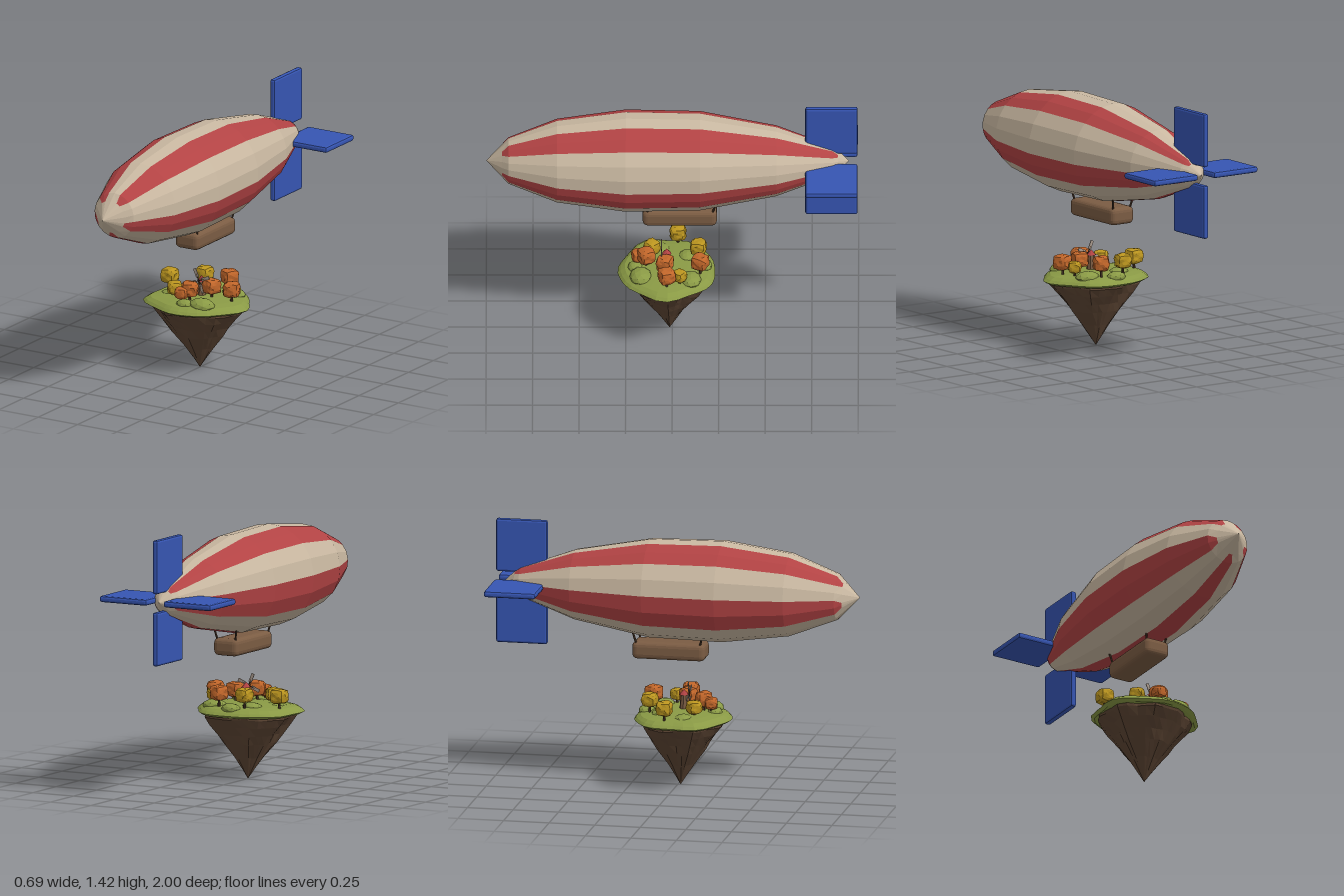
import * as THREE from 'three';
import { mergeGeometries } from 'three/addons/utils/BufferGeometryUtils.js';
import { RoundedBoxGeometry } from 'three/addons/geometries/RoundedBoxGeometry.js';

const mat = (name, color) => {
  const m = new THREE.MeshStandardMaterial({ color, flatShading: true });
  m.name = name;
  return m;
};

// Skin between rows of points
function loft(rows) {
  const pos = [];
  const tri = (...pts) => pts.forEach((p) => pos.push(p.x, p.y, p.z));
  for (let i = 0; i < rows.length - 1; i++) {
    for (let j = 0; j < rows[i].length - 1; j++) {
      const a = rows[i][j], b = rows[i][j + 1], c = rows[i + 1][j], d = rows[i + 1][j + 1];
      if (c.distanceTo(d) > 1e-6) tri(a, c, d);
      if (a.distanceTo(b) > 1e-6) tri(a, d, b);
    }
  }
  const g = new THREE.BufferGeometry();
  g.setAttribute('position', new THREE.Float32BufferAttribute(pos, 3));
  g.computeVertexNormals();
  return g;
}

export function createModel() {
  const model = new THREE.Group();
  const M = {
    cream: mat('cream canvas', 0xc9b8a1),
    red: mat('stripe red', 0xb24344),
    blue: mat('fin blue', 0x3655b2),
    leather: mat('gondola brown', 0x7b5c43),
    rock: mat('rock brown', 0x5e4634),
    grass: mat('grass green', 0x8a9a45),
    wood: mat('dark wood', 0x4f3a2b),
    orange: mat('autumn orange', 0xc1662a),
    yellow: mat('autumn yellow', 0xbb951f),
    vane: mat('sail grey', 0xa8998c),
  };
  const add = (parent, name, geo, material, x = 0, y = 0, z = 0) => {
    const m = new THREE.Mesh(geo, material);
    m.name = name;
    m.position.set(x, y, z);
    parent.add(m);
    return m;
  };
  const group = (name, parent = model) => {
    const g = new THREE.Group();
    g.name = name;
    parent.add(g);
    return g;
  };

  // Balloon: rows of [z, radius], cut into striped sectors by angle
  const airship = group('airship');
  const profile = [[1, 0], [0.915, 0.0885], [0.88, 0.125], [0.62, 0.225], [0.25, 0.275], [-0.15, 0.267],
    [-0.56, 0.19], [-0.86, 0.08], [-0.89, 0.06], [-0.95, 0]];
  const stripes = [[-103, -77], [-36, -8], [43, 73], [105, 138], [177, 217]];
  const edge = (s, side, row) => {
    const [a, b] = stripes[s], narrow = row < 2 || row > 7 ? 0.5 : 1;
    return (a + b) / 2 + (side ? 1 : -1) * ((b - a) / 2) * narrow;
  };
  const sector = (from, to, first, last) => {
    const n = Math.max(2, Math.round((to(4) - from(4)) / 18));
    const rows = [];
    for (let i = first; i <= last; i++) {
      const [z, r] = profile[i], row = [];
      for (let j = 0; j <= n; j++) {
        const t = THREE.MathUtils.degToRad(from(i) + ((to(i) - from(i)) * j) / n);
        row.push(new THREE.Vector3(r * Math.cos(t), 1.08 + r * Math.sin(t), z));
      }
      rows.push(row);
    }
    return loft(rows);
  };
  const pale = [], painted = [];
  stripes.forEach((_, s) => {
    const next = (s + 1) % 5, turn = next ? 0 : 360;
    const a = (i) => edge(s, 0, i), b = (i) => edge(s, 1, i), c = (i) => edge(next, 0, i) + turn;
    painted.push(sector(a, b, 1, 8));
    pale.push(sector(a, b, 0, 1), sector(a, b, 8, 9), sector(b, c, 0, 9));
  });
  add(airship, 'balloon', mergeGeometries(pale), M.cream);
  add(airship, 'balloonStripes', mergeGeometries(painted), M.red);

  // Tail fins
  for (const s of [-1, 1]) {
    add(airship, 'verticalFin', new RoundedBoxGeometry(0.034, 0.292, 0.282, 1, 0.012), M.blue, 0, 1.082 + s * 0.196, -0.855);
    add(airship, 'horizontalFin', new RoundedBoxGeometry(0.292, 0.034, 0.282, 1, 0.012), M.blue, s * 0.198, 1.082, -0.855);
  }

  // Gondola and its struts
  add(airship, 'gondola', new RoundedBoxGeometry(0.15, 0.096, 0.4, 2, 0.028), M.leather, 0, 0.745, -0.04);
  for (const x of [-1, 1]) for (const [z, lean] of [[0.13, 0.02], [-0.215, -0.02]]) {
    const path = new THREE.LineCurve3(new THREE.Vector3(x * 0.055, 0.775, z), new THREE.Vector3(x * 0.068, 0.85, z + lean));
    add(airship, 'strut', new THREE.TubeGeometry(path, 1, 0.006, 6), M.wood);
  }

  // Island: rows of [y, scale] around one wavy outline
  const island = group('island');
  const SIDES = 30;
  const outline = (t) => 0.277 + 0.016 * Math.cos(2 * t) + 0.009 * Math.sin(5 * t + 1) + 0.006 * Math.cos(7 * t);
  const rings = (list, rough) => loft(list.map(([y, k], i) => {
    const row = [];
    for (let j = 0; j <= SIDES; j++) {
      const t = ((j % SIDES) / SIDES) * Math.PI * 2;
      const ridge = 1 + rough * (Math.sin(9 * t + i * 0.5) * 0.6 + Math.sin(4 * t + i * 1.1) * 0.5);
      const r = outline(t) * k * ridge;
      row.push(new THREE.Vector3(r * Math.cos(t), y, 0.015 + 0.012 * k + r * Math.sin(t)));
    }
    return row;
  }));
  add(island, 'rock', rings([[0, 0], [0.05, 0.11], [0.12, 0.27], [0.2, 0.48], [0.25, 0.6], [0.3, 0.74], [0.345, 0.86], [0.37, 0.87]], 0.07), M.rock);
  add(island, 'grass', rings([[0.36, 0.8], [0.358, 0.93], [0.37, 1], [0.385, 0.95], [0.4, 0.87], [0.408, 0.7], [0.415, 0.4], [0.418, 0]], 0.01), M.grass);

  // Grassy mounds: x, z, width, height
  for (const [x, z, w, h] of [[0.11, 0.17, 0.075, 0.042], [-0.08, -0.08, 0.06, 0.03], [0.14, -0.1, 0.07, 0.035],
    [-0.15, 0.06, 0.06, 0.022], [0.0, -0.17, 0.055, 0.03], [0.02, 0.2, 0.05, 0.03]]) {
    add(island, 'mound', new THREE.IcosahedronGeometry(1, 1), M.grass, x, 0.403, z).scale.set(w, h, w * 0.8);
  }

  // Trees with blocky faceted crowns
  const crown = (seed) => {
    const g = new THREE.IcosahedronGeometry(1, 2), p = g.attributes.position, v = new THREE.Vector3();
    for (let i = 0; i < p.count; i++) {
      v.fromBufferAttribute(p, i);
      const box = Math.pow(v.x ** 4 + v.y ** 4 + v.z ** 4, -0.25);
      v.multiplyScalar(box * (0.95 + 0.07 * Math.sin(v.x * 5 + seed * 2) * Math.cos(v.y * 6 + v.z * 4 + seed)));
      p.setXYZ(i, v.x, v.y, v.z);
    }
    g.computeVertexNormals();
    return g;
  };
  const trees = [
    [-0.22, 0.47, -0.03, 0.046, 'yellow'], [-0.1, 0.456, 0.11, 0.041, 'yellow'], [-0.067, 0.478, -0.14, 0.044, 'yellow'],
    [0.015, 0.475, 0.14, 0.047, 'orange'], [0.09, 0.475, 0.04, 0.046, 'orange'], [0.21, 0.475, 0.03, 0.047, 'orange'],
    [0.085, 0.482, -0.15, 0.046, 'orange'], [-0.01, 0.46, 0.185, 0.036, 'orange'], [0.18, 0.455, -0.04, 0.036, 'yellow'],
  ];
  trees.forEach(([x, y, z, r, leaf], i) => {
    const tree = group('tree', island);
    add(tree, 'trunk', new THREE.CylinderGeometry(0.005, 0.008, y - 0.39, 6), M.wood, x, (y + 0.39) / 2, z);
    const top = add(tree, 'crown', crown(i), M[leaf], x, y, z);
    top.scale.set(r, r * 0.92, r);
    top.rotation.y = i * 0.7;
  });

  // Small windmill
  const mill = group('windmill', island);
  mill.position.set(0.02, 0.41, 0.03);
  add(mill, 'millTower', new THREE.CylinderGeometry(0.018, 0.026, 0.085, 8), M.leather, 0, 0.042, 0);
  add(mill, 'millRoof', new THREE.ConeGeometry(0.026, 0.03, 8), M.red, 0, 0.098, 0);
  const sails = group('sails', mill);
  sails.position.set(0, 0.09, 0.028);
  sails.rotation.z = 0.4;
  for (let i = 0; i < 4; i++) {
    const arm = group('sailArm', sails);
    arm.rotation.z = (i * Math.PI) / 2;
    add(arm, 'sail', new THREE.BoxGeometry(0.018, 0.05, 0.004), M.vane, 0, 0.045, 0);
    add(arm, 'spar', new THREE.BoxGeometry(0.004, 0.04, 0.005), M.wood, 0, 0.02, 0);
  }
  return model;
}
